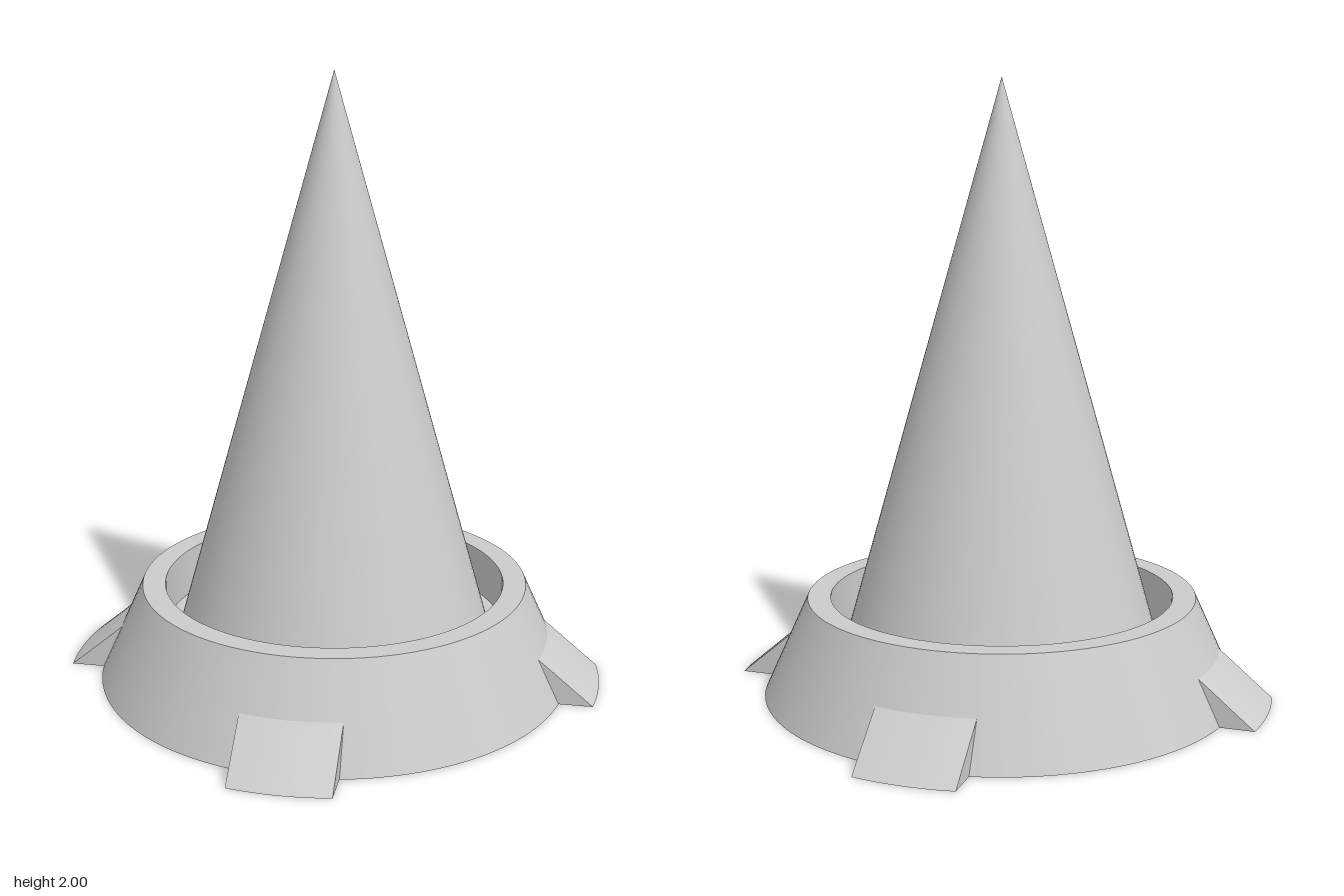
import * as THREE from 'three';
import { toCreasedNormals } from 'three/addons/utils/BufferGeometryUtils.js';

const SEGMENTS = 96;
const BASE_RADIUS = 0.785;
const material = new THREE.MeshStandardMaterial({ color: 0xcccccc });

function addMesh(parent, name, geometry) {
  const mesh = new THREE.Mesh(geometry, material);
  mesh.name = name;
  parent.add(mesh);
  return mesh;
}

// Wedge facing +z: triangular cross-sections swept across its width,
// each following circles around the model's axis.
function wedgeGeometry(halfWidth, outerRadius, topRadius, height, steps = 12) {
  const positions = [];
  const index = [];
  for (let i = 0; i <= steps; i++) {
    const x = -halfWidth + (2 * halfWidth * i) / steps;
    const depth = (r) => Math.sqrt(r * r - x * x);
    positions.push(x, 0, depth(BASE_RADIUS), x, 0, depth(outerRadius), x, height, depth(topRadius));
  }
  for (let i = 0; i < steps; i++) {
    for (let k = 0; k < 3; k++) {
      const a = i * 3 + k;
      const b = i * 3 + ((k + 1) % 3);
      index.push(a, a + 3, b, b, a + 3, b + 3);
    }
  }
  const end = steps * 3;
  index.push(0, 1, 2, end, end + 2, end + 1);
  const geometry = new THREE.BufferGeometry();
  geometry.setAttribute('position', new THREE.Float32BufferAttribute(positions, 3));
  geometry.setIndex(index);
  return toCreasedNormals(geometry, 0.5);
}

export function createModel() {
  const model = new THREE.Group();
  model.name = 'spikeOnBase';

  // Tapered base with a raised rim and a recessed floor
  const profile = [
    [0, 0], [BASE_RADIUS, 0], [0.64, 0.32], [0.565, 0.32], [0.565, 0.16], [0, 0.16],
  ].map(([r, y]) => new THREE.Vector2(r, y));
  addMesh(model, 'base', toCreasedNormals(new THREE.LatheGeometry(profile, SEGMENTS), 0.5));

  // Tall spike standing in the recess
  const spike = addMesh(model, 'spike', new THREE.ConeGeometry(0.52, 1.84, SEGMENTS, 1, true));
  spike.position.y = 0.16 + 1.84 / 2;

  // Four wedge feet around the base
  const foot = wedgeGeometry(0.16, 0.893, 0.717, 0.15);
  ['frontFoot', 'leftFoot', 'backFoot', 'rightFoot'].forEach((name, i) => {
    addMesh(model, name, foot).rotation.y = (i * Math.PI) / 2;
  });

  return model;
}
